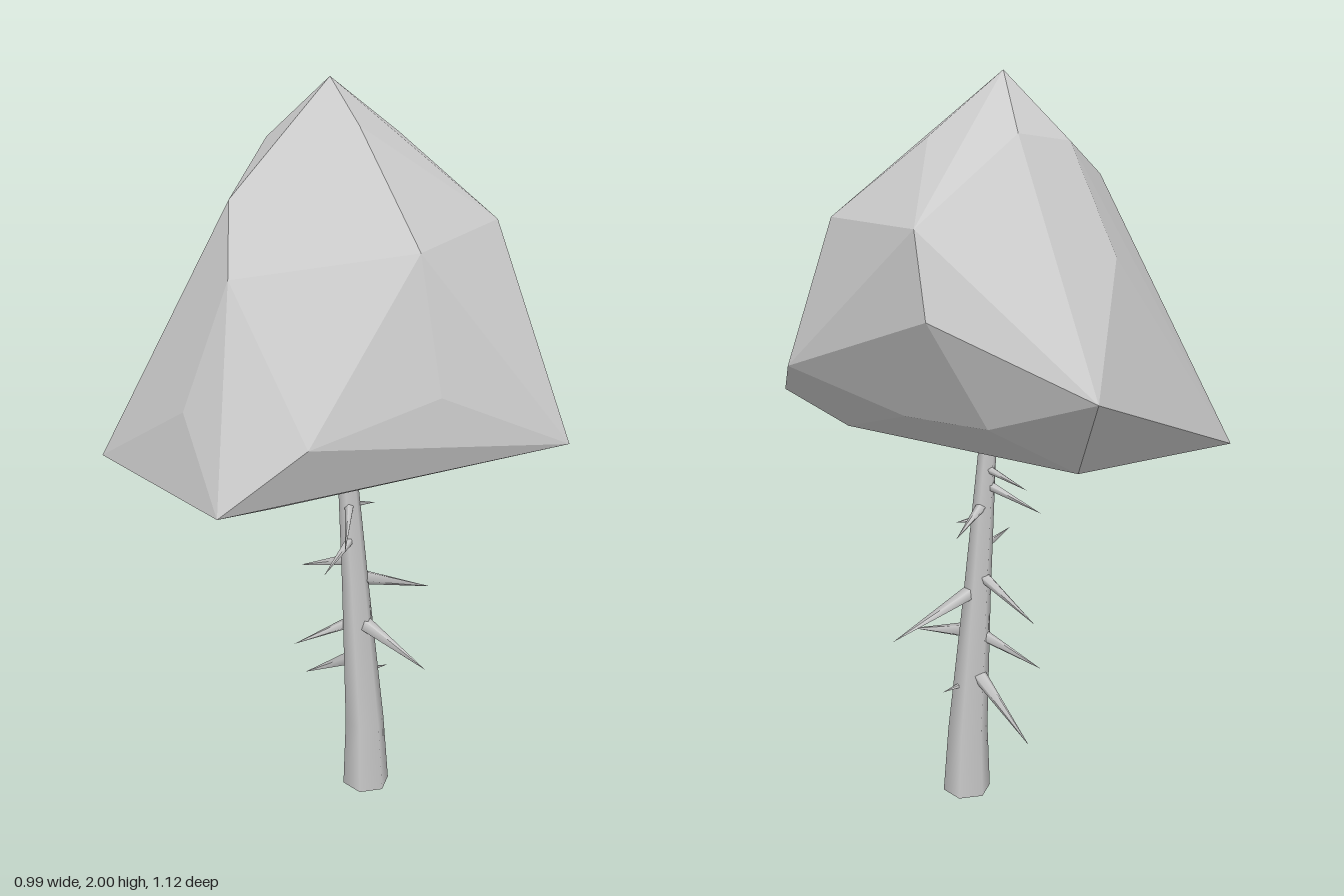
import * as THREE from 'three';
import { ConvexGeometry } from 'three/addons/geometries/ConvexGeometry.js';

const V = (x, y, z) => new THREE.Vector3(x, y, z);

// Trunk centre line and thickness by height
const LEVELS = [
  { y: 0, x: 0.103, z: 0.085, r: 0.067 },
  { y: 0.2, x: 0.106, z: 0.074, r: 0.056 },
  { y: 0.62, x: 0.11, z: 0.026, r: 0.038 },
  { y: 1.04, x: 0.113, z: -0.022, r: 0.024 },
];

function trunkAt(y) {
  let i = 0;
  while (i < LEVELS.length - 2 && y > LEVELS[i + 1].y) i++;
  const a = LEVELS[i], b = LEVELS[i + 1];
  const t = (y - a.y) / (b.y - a.y);
  const mix = (k) => a[k] + (b[k] - a[k]) * t;
  return { x: mix('x'), y, z: mix('z'), r: mix('r') };
}

// Leaning, tapering six-sided trunk
function makeTrunk(material) {
  const geo = new THREE.CylinderGeometry(1, 1, 1, 6, LEVELS.length - 1);
  const pos = geo.attributes.position;
  for (let i = 0; i < pos.count; i++) {
    const level = Math.round((pos.getY(i) + 0.5) * (LEVELS.length - 1));
    const c = LEVELS[level];
    pos.setXYZ(i, c.x + pos.getX(i) * c.r, c.y, c.z + pos.getZ(i) * c.r);
  }
  const trunk = new THREE.Mesh(geo, material);
  trunk.name = 'trunk';
  return trunk;
}

// Pointed twig from the trunk's centre line to its tip
function makeTwig(baseY, tip, radius, material) {
  const c = trunkAt(baseY);
  const base = V(c.x, c.y, c.z);
  const dir = tip.clone().sub(base);
  const twig = new THREE.Mesh(new THREE.ConeGeometry(radius, dir.length(), 5), material);
  twig.position.copy(base).addScaledVector(dir, 0.5);
  twig.quaternion.setFromUnitVectors(V(0, 1, 0), dir.normalize());
  twig.name = 'twig';
  return twig;
}

// Faceted crown
function makeCrown(material) {
  const points = [
    // top
    V(0.07, 2, -0.04), V(0.04, 1.9, 0.095), V(0.25, 1.85, 0.03), V(0.17, 1.87, -0.2), V(0, 1.84, -0.2),
    // upper sides
    V(-0.22, 1.73, -0.09), V(-0.32, 1.57, 0.02), V(0, 1.64, 0.345), V(0.38, 1.645, 0.255),
    V(0.47, 1.68, -0.18), V(0.49, 1.48, -0.24), V(0, 1.58, -0.36),
    // widest corners
    V(0.26, 1.31, -0.56), V(-0.425, 1.03, -0.39), V(-0.43, 1.25, -0.03), V(-0.495, 1.05, 0.17),
    V(-0.33, 1.22, 0.31), V(0, 1.3, 0.425), V(0.335, 1.13, 0.56), V(0.465, 1.26, 0.35),
    // underside
    V(0.38, 1.19, -0.02), V(0.35, 1.21, -0.29), V(0.28, 1.06, 0.35), V(0.15, 1.08, -0.39),
    V(-0.28, 1, 0.13), V(0, 0.99, 0.16), V(-0.1, 0.99, -0.2),
  ];
  const crown = new THREE.Mesh(new ConvexGeometry(points), material);
  crown.name = 'crown';
  return crown;
}

export function createModel() {
  const grey = new THREE.MeshStandardMaterial({ color: 0xcccccc });
  grey.name = 'pale grey';

  const tree = new THREE.Group();
  tree.name = 'tree';
  tree.add(makeTrunk(grey), makeCrown(grey));

  // Bare twigs: height on the trunk, tip, thickness
  const twigs = new THREE.Group();
  twigs.name = 'twigs';
  [
    [0.35, V(0.2, 0.34, 0.07), 0.012],
    [0.4, V(0.11, 0.245, -0.18), 0.024],
    [0.51, V(0, 0.41, -0.11), 0.02],
    [0.51, V(0.13, 0.44, 0.28), 0.026],
    [0.64, V(0.36, 0.54, 0.08), 0.024],
    [0.69, V(0.1, 0.6, -0.19), 0.018],
    [0.755, V(-0.09, 0.74, 0.11), 0.014],
    [0.85, V(-0.09, 0.84, 0.19), 0.014],
    [0.85, V(0.18, 0.845, 0.03), 0.012],
    [0.89, V(0.28, 0.86, -0.09), 0.016],
    [0.95, V(0.07, 0.9, -0.18), 0.014],
    [0.995, V(0.12, 0.975, -0.18), 0.012],
  ].forEach(([y, tip, r]) => twigs.add(makeTwig(y, tip, r, grey)));
  tree.add(twigs);

  return tree;
}
